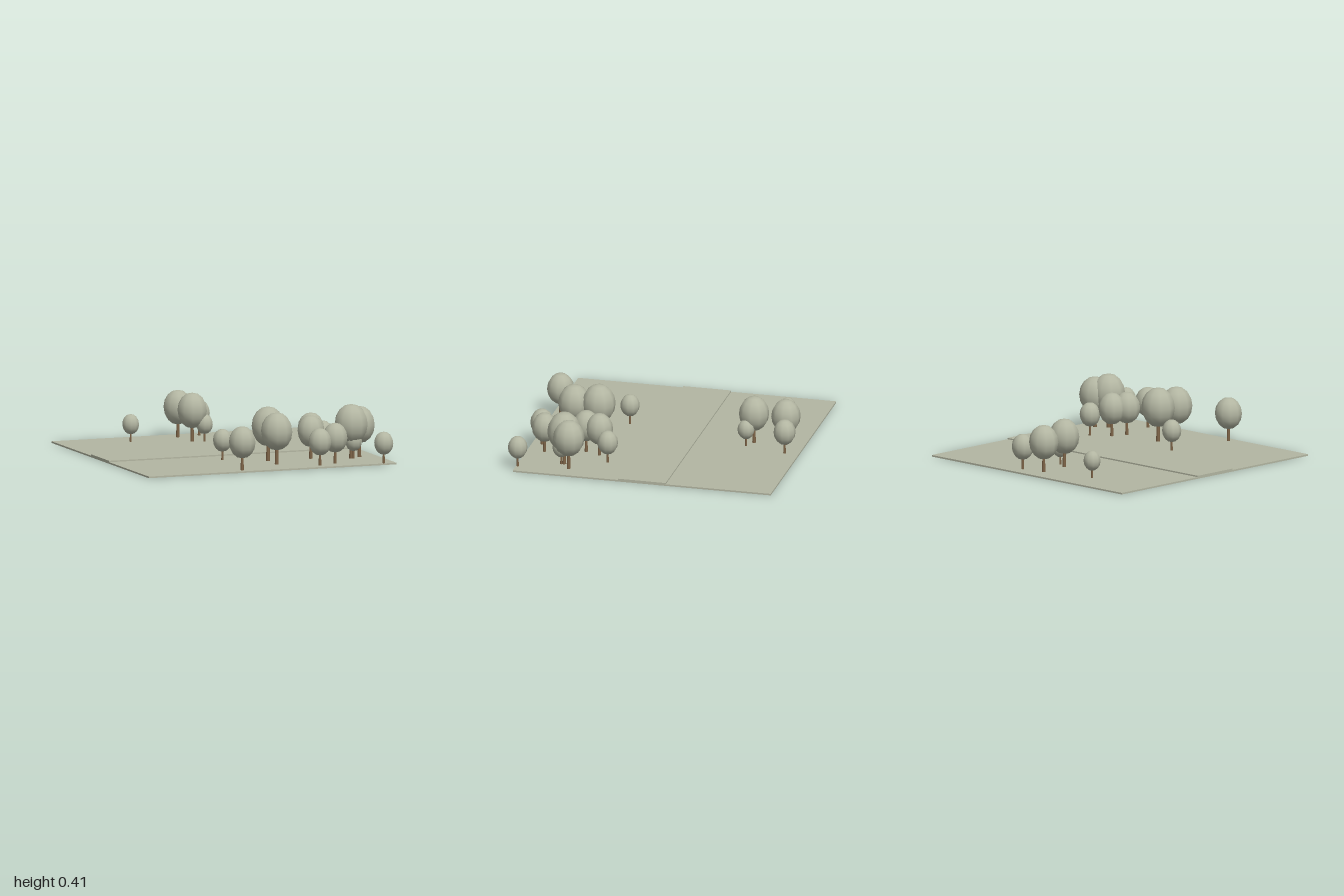
import * as THREE from 'three';

const GROUND_TOP = 0.012;

// x, z, crown radius of each tree
const TREES = [
  // back grove
  [-0.035, -0.86, 0.108], [0.145, -0.895, 0.081], [-0.44, -0.77, 0.063],
  [-0.015, -0.625, 0.111], [0.065, -0.585, 0.063],
  // front grove
  [-0.16, 0.345, 0.071], [0.135, 0.505, 0.124], [0.13, 0.69, 0.118],
  [0.51, 0.405, 0.1], [0.465, 0.515, 0.099], [0.64, 0.31, 0.076],
  [0.83, 0.555, 0.116], [0.745, 0.61, 0.124], [0.755, 0.63, 0.064],
  [0.4, 0.865, 0.085], [0.54, 0.81, 0.093], [-0.215, 0.88, 0.1],
  [0.875, 0.927, 0.072],
];

export function createModel() {
  const model = new THREE.Group();
  const stone = new THREE.MeshStandardMaterial({ color: 0xb3b6a2 });
  stone.name = 'paleSageGrey';
  const bark = new THREE.MeshStandardMaterial({ color: 0x806649 });
  bark.name = 'barkBrown';

  const add = (parent, name, geometry, material, x, y, z) => {
    const mesh = new THREE.Mesh(geometry, material);
    mesh.name = name;
    mesh.position.set(x, y, z);
    parent.add(mesh);
    return mesh;
  };

  // Ground slab and the raised road crossing it
  add(model, 'ground', new THREE.BoxGeometry(1.94, GROUND_TOP, 1.94), stone, 0, GROUND_TOP / 2, -0.03);
  add(model, 'road', new THREE.BoxGeometry(1.94, 0.01, 0.36), stone, 0, GROUND_TOP + 0.005, -0.03);

  // Unit tree: crown radius 1, scaled for every tree
  const crownGeometry = new THREE.SphereGeometry(1, 10, 8).scale(1, 1.18, 1);
  const trunkGeometry = new THREE.CylinderGeometry(0.085, 0.125, 1.3, 6);

  TREES.forEach(([x, z, r]) => {
    const tree = new THREE.Group();
    tree.name = 'tree';
    add(tree, 'trunk', trunkGeometry, bark, 0, 0.65, 0);
    add(tree, 'crown', crownGeometry, stone, 0, 2.05, 0);
    tree.position.set(x, GROUND_TOP, z);
    tree.scale.setScalar(r);
    model.add(tree);
  });

  return model;
}
